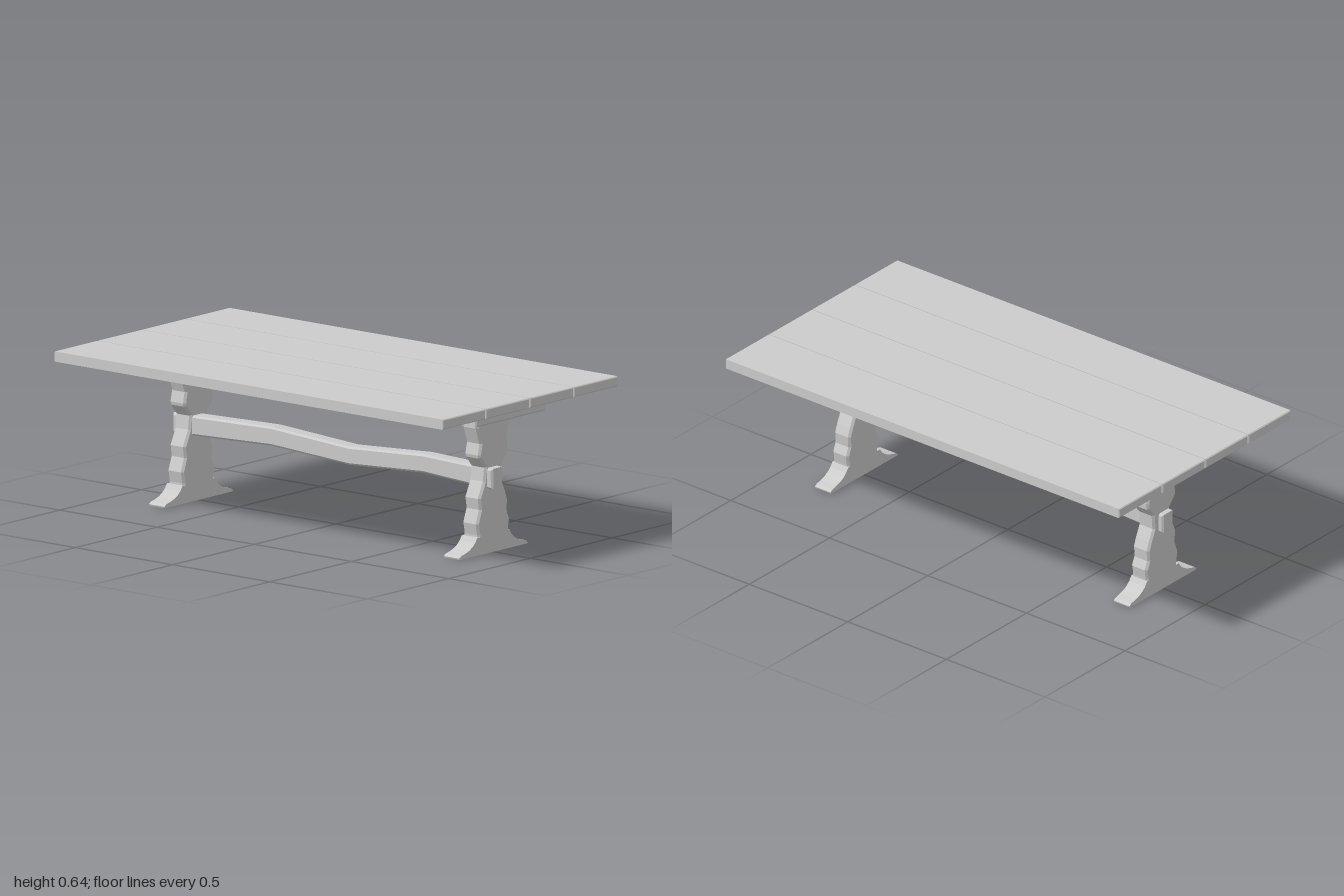
import * as THREE from 'three';

const material = new THREE.MeshStandardMaterial({ color: 0xcccccc, flatShading: true });

// Extrudes an outline between z0 and z1; the chamfer stays inside the outline.
function slab(points, z0, z1, bevel) {
  const shape = new THREE.Shape(points.map(([x, y]) => new THREE.Vector2(x, y)));
  const geometry = new THREE.ExtrudeGeometry(shape, {
    depth: z1 - z0 - 2 * bevel,
    bevelEnabled: bevel > 0,
    bevelThickness: bevel,
    bevelSize: bevel,
    bevelOffset: -bevel,
    bevelSegments: 1,
  });
  return geometry.translate(0, 0, z0 + bevel);
}

// Box with chamfered edges, given by its limits.
function plankBox(x0, x1, y0, y1, z0, z1, bevel) {
  return slab([[x0, y0], [x1, y0], [x1, y1], [x0, y1]], z0, z1, bevel);
}

export function createModel() {
  const table = new THREE.Group();
  table.name = 'trestleTable';
  const add = (name, geometry) => {
    const mesh = new THREE.Mesh(geometry, material);
    mesh.name = name;
    table.add(mesh);
    return mesh;
  };

  // Four long boards with narrow gaps
  const seams = [-0.537, -0.271, -0.003, 0.266, 0.537];
  for (let i = 0; i < 4; i++) {
    add('topBoard' + (i + 1),
      plankBox(seams[i] + 0.002, seams[i + 1] - 0.002, 0.604, 0.645, -1, 1, 0.004));
  }

  // Wavy upright outline, right edge upwards then left edge downwards
  const upright = [
    [0.095, 0.05], [0.097, 0.08], [0.103, 0.12], [0.088, 0.155], [0.091, 0.2],
    [0.078, 0.235], [0.055, 0.285], [0.06, 0.345], [0.092, 0.385], [0.094, 0.41],
    [0.086, 0.45], [0.102, 0.505], [0.099, 0.56],
    [-0.095, 0.56], [-0.099, 0.51], [-0.076, 0.445], [-0.086, 0.4], [-0.083, 0.387],
    [-0.048, 0.345], [-0.055, 0.29], [-0.086, 0.225], [-0.079, 0.18], [-0.099, 0.125],
    [-0.09, 0.08], [-0.09, 0.05],
  ];

  // Flared foot: half outline, mirrored
  const flare = [
    [0.207, 0], [0.209, 0.006], [0.198, 0.014], [0.172, 0.02], [0.148, 0.028],
    [0.128, 0.039], [0.112, 0.053], [0.099, 0.072],
  ];
  const foot = [...flare, ...flare.map(([x, y]) => [-x, y]).reverse()];

  // Two trestles: foot, upright and cleat under the top
  const trestles = [
    { end: 'front', leg: [0.73, 0.81], cleat: [0.635, 0.898] },
    { end: 'back', leg: [-0.786, -0.706], cleat: [-0.876, -0.612] },
  ];
  for (const { end, leg, cleat } of trestles) {
    add(end + 'Foot', slab(foot, leg[0], leg[1], 0));
    add(end + 'Upright', slab(upright, leg[0], leg[1], 0.009));
    add(end + 'Cleat', plankBox(-0.211, 0.216, 0.545, 0.606, cleat[0], cleat[1], 0.006));
  }

  // Gently waving stretcher running through both uprights: outline in z and y
  const stretcher = [
    [-0.808, 0.26], [-0.71, 0.264], [-0.3, 0.279], [0.1, 0.257], [0.48, 0.278],
    [0.73, 0.264], [0.838, 0.258], [0.838, 0.343], [0.73, 0.345], [0.48, 0.353],
    [0.1, 0.331], [-0.3, 0.356], [-0.71, 0.345], [-0.808, 0.343],
  ];
  const beam = slab(stretcher.map(([z, y]) => [-z, y]).reverse(), -0.041, 0.027, 0.008);
  add('stretcher', beam.rotateY(Math.PI / 2));

  return table;
}
